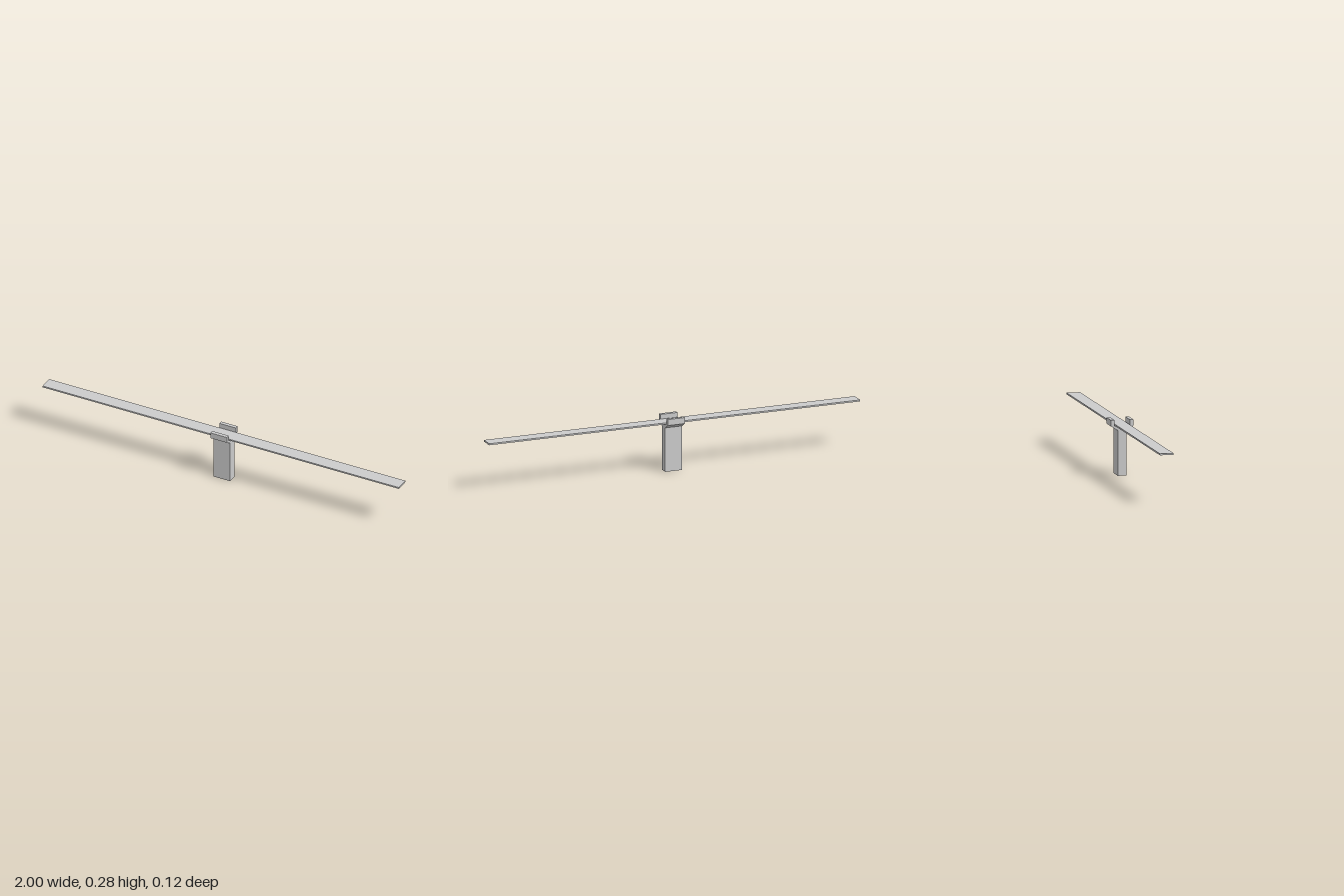
import * as THREE from 'three';

const STAND_WIDTH = 0.092;
const FLOOR = 0.251; // height of the seat inside the fork

export function createModel() {
  const group = new THREE.Group();
  const material = new THREE.MeshStandardMaterial({ color: 0xcccccc, flatShading: true });

  // Forked stand: half profile (z, y) mirrored, extruded along x
  const half = [[0.0225, 0], [0.0225, 0.229], [0.058, 0.251], [0.058, 0.282], [0.039, 0.282], [0.039, FLOOR]];
  const mirrored = half.map(([z, y]) => [-z, y]).reverse();
  const profile = new THREE.Shape([...half, ...mirrored].map(([z, y]) => new THREE.Vector2(z, y)));
  const standGeometry = new THREE.ExtrudeGeometry(profile, { depth: STAND_WIDTH, bevelEnabled: false });
  standGeometry.translate(0, 0, -STAND_WIDTH / 2).rotateY(Math.PI / 2);
  const stand = new THREE.Mesh(standGeometry, material);
  stand.name = 'forkedStand';
  group.add(stand);

  // Long thin plank resting in the fork
  const thickness = 0.008;
  const plank = new THREE.Mesh(new THREE.BoxGeometry(2, thickness, 0.07), material);
  plank.position.y = FLOOR + thickness / 2;
  plank.name = 'plank';
  group.add(plank);

  return group;
}
